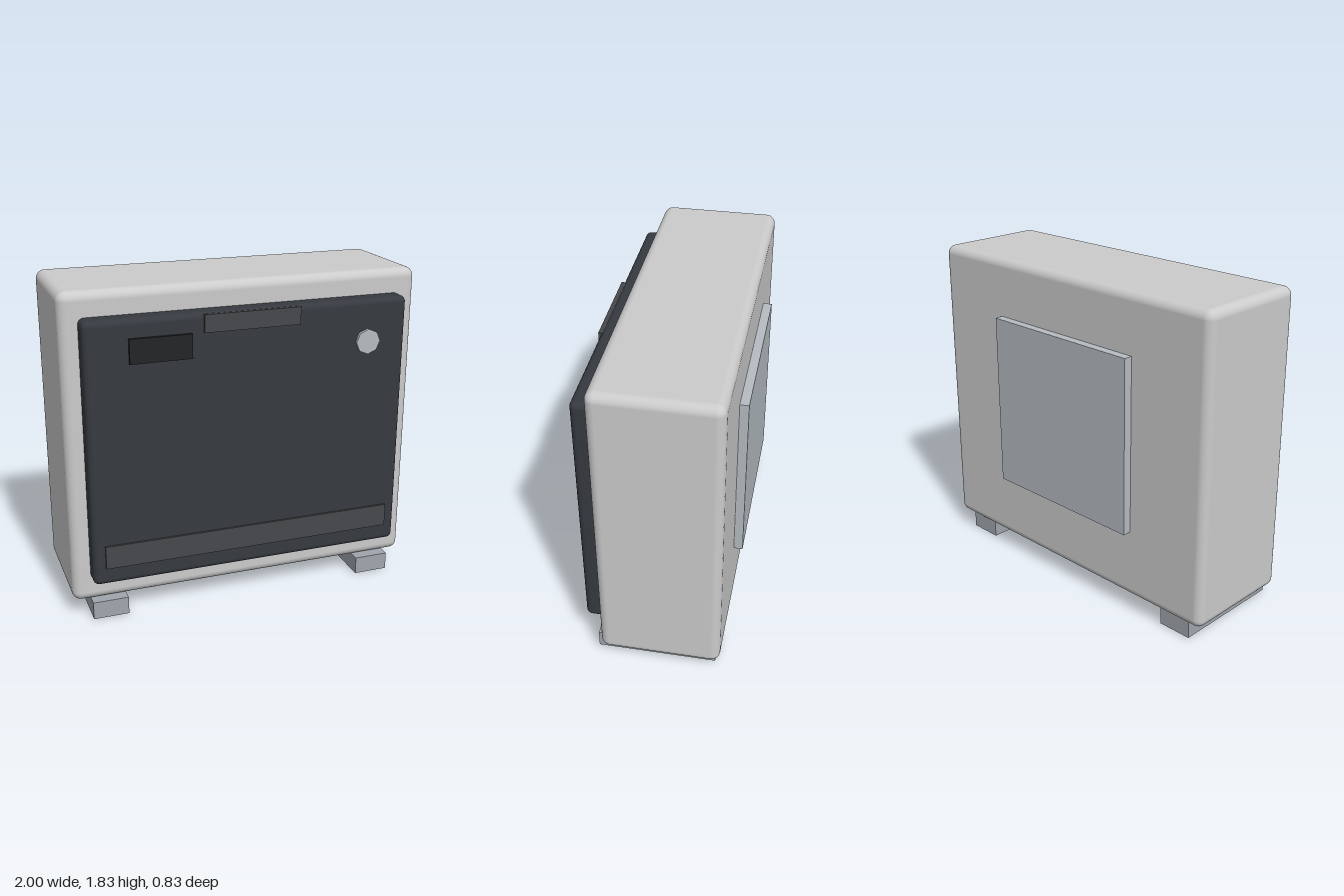
import * as THREE from 'three';
import { RoundedBoxGeometry } from 'three/addons/geometries/RoundedBoxGeometry.js';

const mat = (color) => new THREE.MeshStandardMaterial({ color });

export function createModel() {
  const group = new THREE.Group();
  const grey = mat(0xcccccc), panel = mat(0x363a40), trim = mat(0x47484b);
  const black = mat(0x222426), metal = mat(0xb6bcc2), footGrey = mat(0xa0a6ae);

  // Box given by its limits on each axis; a radius rounds its edges
  const box = (name, [x0, x1], [y0, y1], [z0, z1], material, radius = 0) => {
    const size = [x1 - x0, y1 - y0, z1 - z0];
    const geometry = radius
      ? new RoundedBoxGeometry(...size, 4, radius)
      : new THREE.BoxGeometry(...size);
    const mesh = new THREE.Mesh(geometry, material);
    mesh.name = name;
    mesh.position.set((x0 + x1) / 2, (y0 + y1) / 2, (z0 + z1) / 2);
    group.add(mesh);
  };

  // Cabinet and raised door
  box('cabinet', [-1, 1], [0.1, 1.833], [-0.367, 0.298], grey, 0.05);
  box('door', [-0.9, 0.9], [0.235, 1.7], [0.2, 0.398], panel, 0.033);

  // Door fittings
  box('doorHandle', [-0.267, 0.267], [1.597, 1.693], [0.38, 0.41], trim);
  box('lowerVent', [-0.833, 0.833], [0.337, 0.468], [0.38, 0.41], trim);
  box('display', [-0.667, -0.333], [1.468, 1.6], [0.38, 0.416], black);

  // Eight-sided knob
  const knob = new THREE.Mesh(new THREE.CylinderGeometry(0.07, 0.07, 0.036, 8), metal);
  knob.name = 'knob';
  knob.rotation.x = Math.PI / 2;
  knob.position.set(0.667, 1.468, 0.398);
  group.add(knob);

  // Rear plate
  box('rearPlate', [-0.5, 0.5], [0.502, 1.502], [-0.416, -0.35], metal);

  // Runner feet
  for (const [name, x] of [['leftFoot', 0.8], ['rightFoot', -0.8]])
    box(name, [x - 0.1, x + 0.1], [0, 0.101], [-0.333, 0.333], footGrey);

  return group;
}
